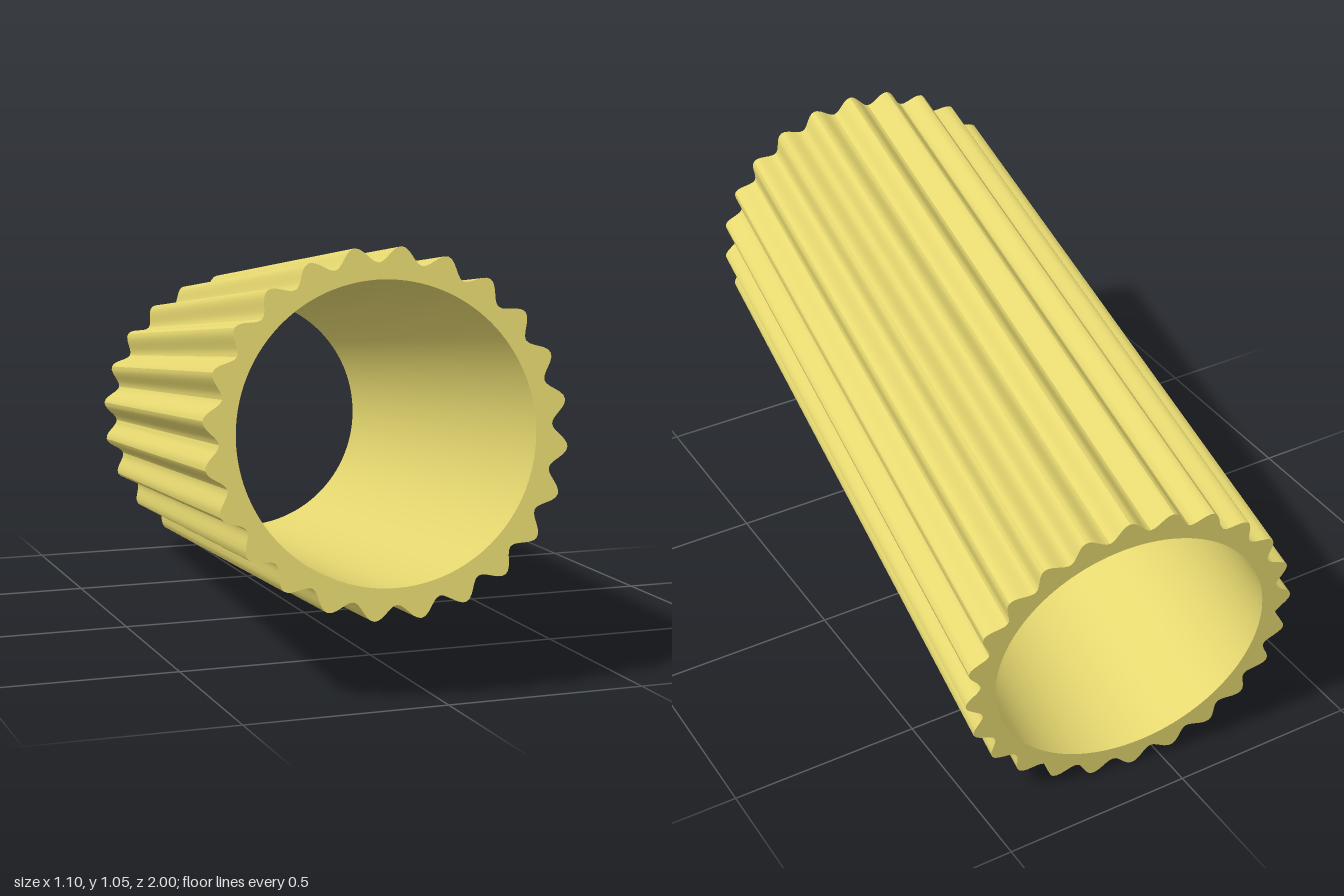
import * as THREE from 'three';
import { toCreasedNormals } from 'three/addons/utils/BufferGeometryUtils.js';

const TEETH = 24;
const STEPS = 12; // outline points per tooth
const ROOT = 0.392;
const TIP = 0.43;
const BORE = 0.353;
const PHASE = THREE.MathUtils.degToRad(9);

// Wavy ring outline with a round bore
function flutedRing() {
  const points = [];
  const mid = (ROOT + TIP) / 2, wave = (TIP - ROOT) / 2;
  for (let i = 0; i < TEETH * STEPS; i++) {
    const a = (i / (TEETH * STEPS)) * Math.PI * 2;
    const r = mid + wave * Math.cos(TEETH * a);
    points.push(new THREE.Vector2(r * Math.cos(a + PHASE), r * Math.sin(a + PHASE)));
  }
  const shape = new THREE.Shape(points);
  shape.holes.push(new THREE.Path().absarc(0, 0, BORE, 0, Math.PI * 2, true));
  return shape;
}

export function createModel() {
  const group = new THREE.Group();
  group.name = 'flutedTube';

  // Tube axis, from the back end to the front end
  const axis = new THREE.Vector3(-0.25, 0.203, 1.854);
  const length = axis.length();

  const geometry = new THREE.ExtrudeGeometry(flutedRing(), {
    depth: length, bevelEnabled: false, curveSegments: 64, steps: 1,
  });
  geometry.translate(0, 0, -length / 2);

  const tube = new THREE.Mesh(
    toCreasedNormals(geometry, 0.5),
    new THREE.MeshStandardMaterial({ color: 0xe6d870 }),
  );
  tube.name = 'flutedSleeve';
  tube.quaternion.setFromUnitVectors(new THREE.Vector3(0, 0, 1), axis.normalize());
  tube.position.y = 0.531;
  group.add(tube);
  return group;
}
